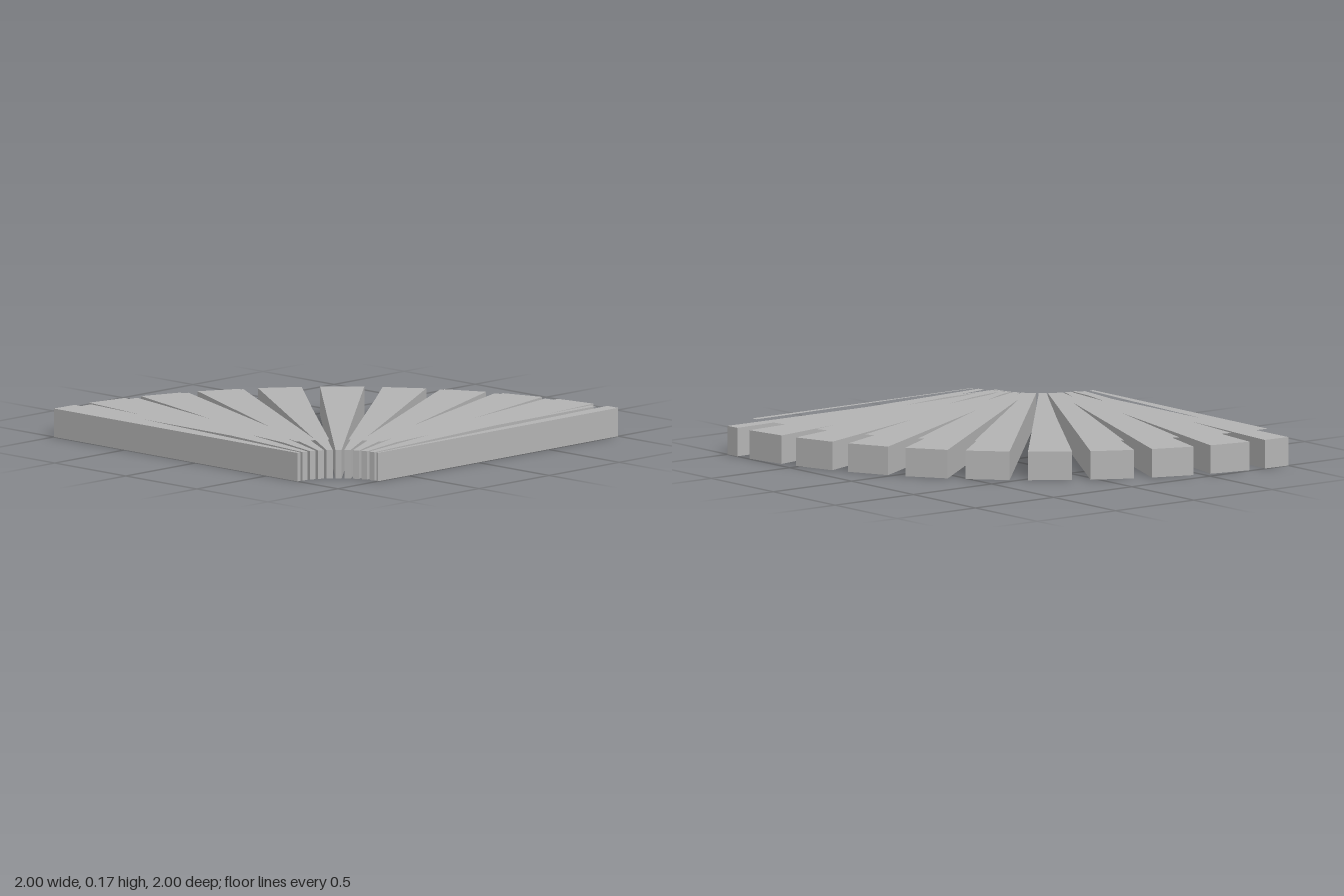
import * as THREE from 'three';

const PIVOT = 1;        // the fan opens from the corner x = z = 1
const HEIGHT = 0.145;   // slat thickness
const PLATE_Y = 0.17;   // thin panels hover just over the slats

// Four-cornered wedge between two radii and two angles (degrees, from -x towards -z)
function wedge(r0, r1, a0, a1) {
  const corner = (r, deg) => {
    const a = THREE.MathUtils.degToRad(deg);
    return new THREE.Vector2(PIVOT - r * Math.cos(a), r * Math.sin(a) - PIVOT);
  };
  return new THREE.Shape([corner(r0, a0), corner(r1, a0), corner(r1, a1), corner(r0, a1)]);
}

export function createModel() {
  const model = new THREE.Group();
  model.name = 'slattedFan';
  const grey = new THREE.MeshStandardMaterial({ color: 0xb3b3b3, side: THREE.DoubleSide });
  grey.name = 'grey';

  const add = (name, geometry, y) => {
    geometry.rotateX(-Math.PI / 2);
    const mesh = new THREE.Mesh(geometry, grey);
    mesh.name = name;
    mesh.position.y = y;
    model.add(mesh);
  };

  // Eleven slats 9 degrees apart; the first and last are cut off at the quarter circle
  for (let i = 0; i < 11; i++) {
    const middle = 1 + 9 * i;
    const a0 = Math.max(0, middle - 3.18);
    const a1 = Math.min(90, middle + 3.18);
    const slat = new THREE.ExtrudeGeometry(wedge(0.285, 2, a0, a1), { depth: HEIGHT, bevelEnabled: false });
    add('slat' + (i + 1), slat, 0);

    // Smaller flat panel above each slat
    add('panel' + (i + 1), new THREE.ShapeGeometry(wedge(0.43, 1.857, a0 + 0.55, a1 - 0.55)), PLATE_Y);
  }
  return model;
}
